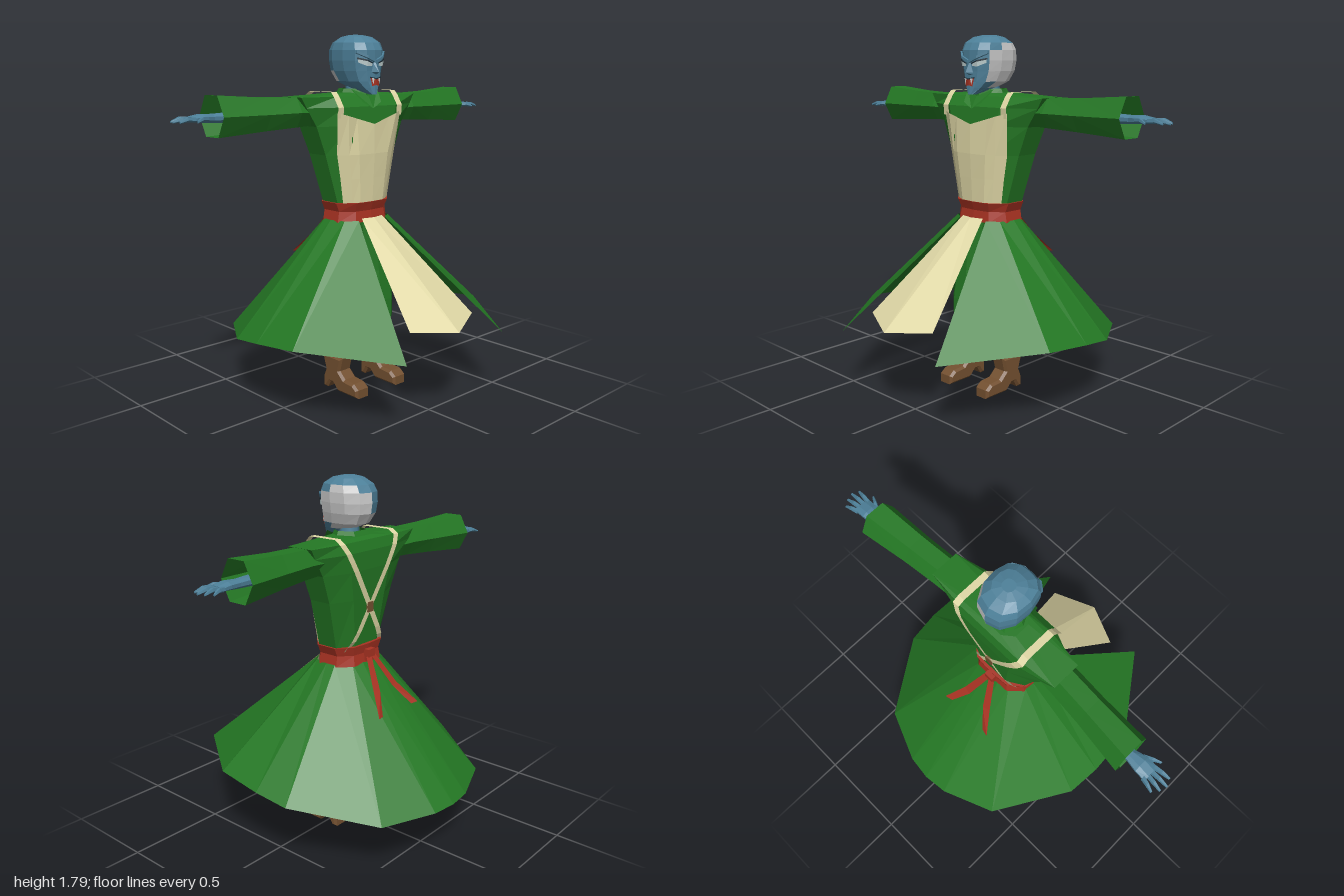
import * as THREE from 'three';

const mat = (name, color, side = THREE.DoubleSide) => Object.assign(new THREE.MeshStandardMaterial({ color, side }), { name });
const M = {
  green: mat('green cloth', 0x247824), cream: mat('cream cloth', 0xe0d8a6), sash: mat('rust sash', 0xa83222),
  sock: mat('red sock', 0xd20f28), boot: mat('brown leather', 0x735030), skin: mat('blue skin', 0x4d8099),
  hair: mat('pale grey', 0xcacaca), eye: mat('eye grey', 0xb4c4c4), dark: mat('dark line', 0x20303a),
};

// Skins rows of [x,y,z] points; closed rows form a tube, caps fill its ends, pick(center) gives a material index
function skin(rows, { closed = false, caps = false, pick } = {}) {
  const tris = [], n = rows[0].length;
  for (let i = 0; i < rows.length - 1; i++) for (let j = 0; j < (closed ? n : n - 1); j++) {
    const k = (j + 1) % n, a = rows[i][j], b = rows[i][k], c = rows[i + 1][k], d = rows[i + 1][j];
    const m = pick ? pick([0, 1, 2].map(q => (a[q] + b[q] + c[q] + d[q]) / 4)) : 0;
    tris.push([m, a, b, c], [m, a, c, d]);
  }
  if (caps) [rows[0], rows[rows.length - 1]].forEach((r, e) => {
    const mid = [0, 1, 2].map(q => r.reduce((s, p) => s + p[q], 0) / n);
    r.forEach((p, j) => tris.push(e ? [0, p, r[(j + 1) % n], mid] : [0, r[(j + 1) % n], p, mid]));
  });
  // Turn closed shapes outward
  const o = rows[0][0], rel = p => new THREE.Vector3(p[0] - o[0], p[1] - o[1], p[2] - o[2]);
  const volume = tris.reduce((s, [, a, b, c]) => s + rel(a).dot(rel(b).cross(rel(c))), 0);
  if (closed && volume < 0) tris.forEach(t => t.splice(1, 3, t[1], t[3], t[2]));
  tris.sort((a, b) => a[0] - b[0]);
  const g = new THREE.BufferGeometry();
  g.setAttribute('position', new THREE.Float32BufferAttribute(tris.flatMap(t => t.slice(1).flat()), 3));
  g.computeVertexNormals();
  if (pick) {
    const first = tris.filter(t => t[0] === 0).length * 3;
    g.addGroup(0, first, 0);
    g.addGroup(first, tris.length * 3 - first, 1);
  }
  return g;
}

// Full horizontal ring from its +x half, listed front to back
const mirrorRing = (half, y) => [...half, ...half.slice(1, -1).reverse().map(([x, z]) => [-x, z])].map(([x, z]) => [x, y, z]);
// Ellipse ring across an axis: 'y' gives a ring in xz, 'x' a ring in yz
const ring = (axis, at, c1, r1, c2, r2, n = 8, turn = 0.5) => Array.from({ length: n }, (_, i) => {
  const a = (i + turn) / n * Math.PI * 2, u = c1 + r1 * Math.cos(a), v = c2 + r2 * Math.sin(a);
  return axis === 'y' ? [u, at, v] : [at, u, v];
});
// Mirrored copy across x with its winding restored
function flip(src) {
  const g = (src.index ? src.toNonIndexed() : src.clone()).scale(-1, 1, 1), p = g.attributes.position;
  for (let i = 0; i < p.count; i += 3) {
    const a = [p.getX(i + 1), p.getY(i + 1), p.getZ(i + 1)];
    p.setXYZ(i + 1, p.getX(i + 2), p.getY(i + 2), p.getZ(i + 2));
    p.setXYZ(i + 2, ...a);
  }
  g.computeVertexNormals();
  return g;
}

// Torso levels: y, half width, front z, back z, side front z, side back z
const TORSO = [
  [0.97, 0.165, 0.085, -0.13, 0.03, -0.08], [1.22, 0.235, 0.1, -0.15, 0.02, -0.1],
  [1.36, 0.29, 0.1, -0.16, 0.02, -0.11], [1.45, 0.35, 0.09, -0.16, 0.02, -0.12],
  [1.5, 0.38, 0.05, -0.145, 0.02, -0.125], [1.515, 0.1, 0.03, -0.12, 0, -0.08]];
function torsoZ(x, y, back) {
  let i = 0;
  while (i < 3 && y > TORSO[i + 1][0]) i++;
  const t = (y - TORSO[i][0]) / (TORSO[i + 1][0] - TORSO[i][0]);
  const l = TORSO[i].map((v, k) => v + (TORSO[i + 1][k] - v) * t), f = Math.max(0, Math.abs(x) / l[1] * 2 - 1);
  return back ? l[3] + (l[5] - l[3]) * f - 0.01 : l[2] + (l[4] - l[2]) * f + 0.012;
}

export function createModel() {
  const root = new THREE.Group();
  const add = (name, g, m) => {
    const mesh = new THREE.Mesh(g, m);
    mesh.name = name;
    root.add(mesh);
  };
  const pair = (name, g, m) => { add(name + 'Left', g, m); add(name + 'Right', flip(g), m); };

  // Coat body and collar
  add('coatBody', skin(TORSO.map(([y, w, f, b, sf, sb]) =>
    mirrorRing([[0, f], [w / 2, f], [w, sf], [w, sb], [w / 2, b], [0, b]], y)), { closed: true, caps: true }), M.green);
  add('collar', skin([[1.49, 0.1, 0.06, -0.12], [1.535, 0.08, 0.045, -0.09]].map(([y, w, f, b]) =>
    mirrorRing([[0, f], [w * 0.7, f - 0.02], [w, -0.02], [w * 0.6, b], [0, b]], y)), { closed: true }), M.green);
  pair('lapel', skin([[[0, 1.44, 0.108], [0, 1.5, 0.072]], [[0.06, 1.47, 0.1], [0.09, 1.535, 0.04]]]), M.green);

  // Open-fronted flared skirt
  const waist = [[0.09, 0.1], [0.15, 0.06], [0.17, -0.02], [0.165, -0.07], [0.1, -0.13], [0.04, -0.145], [0, -0.145]];
  const hem = [[0.34, 0.36, 0.67], [0.64, 0.39, 0.25], [0.655, 0.365, 0], [0.64, 0.34, -0.18], [0.4, 0.275, -0.56], [0.13, 0.275, -0.67], [0, 0.275, -0.685]];
  pair('skirt', skin([waist.map(([x, z]) => [x, 0.89, z]), hem]), M.green);

  // Apron: bib above the sash and panel below it
  const bib = [[0.97, 0.15, 0], [1.1, 0.172, 0], [1.22, 0.195, 0], [1.365, 0.215, 0.06]];
  add('bib', skin(bib.map(([y, w, v]) => [-1, -0.75, -0.5, 0, 0.5, 0.75, 1].map(t => {
    const yy = y + v * Math.abs(t);
    return [w * t, yy, torsoZ(w * t, yy) + (t ? 0 : 0.006)];
  }))), M.cream);
  add('apronPanel', skin([[[-0.07, 0.9, 0.1], [0, 0.9, 0.115], [0.07, 0.9, 0.1]], [[-0.22, 0.46, 0.575], [0, 0.435, 0.68], [0.22, 0.46, 0.575]]]), M.cream);

  // Straps over the shoulders, crossing on the back
  const strap = [];
  for (const y of [1.4, 1.45, 1.5]) strap.push([0.198, y, torsoZ(0.198, y)]);
  strap.push([0.198, 1.522, 0.04], [0.198, 1.522, -0.12]);
  for (let y = 1.5; y > 0.96; y -= 0.045) {
    const x = y > 1.17 ? 0.2 * (y - 1.17) / 0.33 : -0.12 * (1.17 - y) / 0.2;
    strap.push([x, y, torsoZ(x, y, true)]);
  }
  pair('strap', skin(strap.map(([x, y, z]) => [[x - 0.018, y, z], [x + 0.018, y, z]])), M.cream);
  add('strapKnot', new THREE.BoxGeometry(0.04, 0.05, 0.012).translate(0, 1.17, torsoZ(0, 1.17, true)), M.boot);

  // Sash with knot and tails
  add('sash', skin([[0.88, 0.167, 0.1, -0.15], [0.935, 0.158, 0.092, -0.142], [0.98, 0.178, 0.108, -0.15]].map(([y, w, f, b]) =>
    mirrorRing([[0, f], [w * 0.6, f - 0.008], [w, 0.03], [w, -0.08], [w * 0.6, b + 0.008], [0, b]], y)), { closed: true, caps: true }), M.sash);
  add('sashKnot', new THREE.BoxGeometry(0.05, 0.06, 0.03).translate(0, 0.925, -0.155), M.sash);
  pair('sashTail', skin([[[0, 0.92, -0.168], [0.035, 0.92, -0.165]], [[0.05, 0.77, -0.265], [0.09, 0.78, -0.255]], [[0.115, 0.672, -0.335], [0.155, 0.675, -0.345]]]), M.sash);

  // Sleeves, open at the cuffs: x, mid y, half height, mid z, half depth
  pair('sleeve', skin([[0.27, 1.425, 0.07, -0.055, 0.07], [0.38, 1.43, 0.08, -0.055, 0.08], [0.55, 1.428, 0.088, -0.07, 0.083], [0.8, 1.428, 0.107, -0.093, 0.097]]
    .map(([x, y, h, z, d]) => ring('x', x, y, h, z, d, 6, 0.5))), M.green);
  pair('sleeveSeam', skin([[0.27, 1.425, 0.07, -0.055, 0.07], [0.38, 1.43, 0.08, -0.055, 0.08], [0.55, 1.428, 0.088, -0.07, 0.083], [0.8, 1.428, 0.107, -0.093, 0.097]]
    .map(([x, y, h, z, d]) => ring('x', x, y, h, z, d, 6, 0.5)), { closed: true }), M.green);

  // Hands
  pair('hand', skin([[0.6, 1.42, 0.03, -0.08, 0.03], [0.8, 1.42, 0.021, -0.092, 0.03], [0.86, 1.423, 0.02, -0.09, 0.045], [0.915, 1.42, 0.013, -0.093, 0.045]]
    .map(([x, y, h, z, d]) => ring('x', x, y, h, z, d)), { closed: true, caps: true }), M.skin);
  const digits = [[0.9, -0.127, 0.968, -0.147], [0.905, -0.105, 0.99, -0.117], [0.905, -0.082, 1, -0.083], [0.905, -0.06, 0.985, -0.05], [0.84, -0.06, 0.915, -0.022]];
  digits.forEach(([x0, z0, x1, z1], i) => pair('finger' + (i + 1), skin([[x0, 1.42, 0.012, z0, 0.013],
    [(x0 + x1) / 2, 1.423, 0.011, (z0 + z1) / 2, 0.011], [x1, 1.412, 0.005, z1, 0.006]]
    .map(([x, y, h, z, d]) => ring('x', x, y, h, z, d, 5)), { closed: true, caps: true }), M.skin));

  // Legs: y, mid x, half width, mid z, half depth
  const leg = rows => skin(rows.map(([y, x, w, z, d]) => ring('y', y, x, w, z, d)), { closed: true, caps: true });
  pair('trouser', leg([[0.9, 0.085, 0.08, -0.02, 0.09], [0.6, 0.115, 0.085, -0.01, 0.085], [0.44, 0.128, 0.097, 0, 0.085], [0.335, 0.128, 0.097, 0, 0.085], [0.285, 0.13, 0.062, 0, 0.06]]), M.green);
  pair('sockCuff', leg([[0.292, 0.131, 0.06, -0.002, 0.068], [0.252, 0.131, 0.06, -0.002, 0.068]]), M.sock);
  pair('sock', leg([[0.26, 0.131, 0.052, -0.004, 0.052], [0.17, 0.132, 0.043, -0.01, 0.047]]), M.sock);
  const side = new THREE.Shape([[-0.085, 0.18], [-0.062, 0.1], [-0.08, 0.06], [-0.082, 0], [-0.052, 0], [-0.03, 0.035], [-0.005, 0.035],
    [0.03, 0], [0.178, 0], [0.178, 0.045], [0.145, 0.07], [0.08, 0.075], [0.042, 0.11], [0.06, 0.18]].map(p => new THREE.Vector2(...p)));
  pair('boot', new THREE.ExtrudeGeometry(side, { depth: 0.064, bevelThickness: 0.013, bevelSize: 0.012, bevelOffset: -0.012, bevelSegments: 1 })
    .translate(0, 0, -0.032).rotateY(-Math.PI / 2).translate(0.133, 0, 0), M.boot);

  // Head: y, half width, front z, back z; grey patch on one side and under the back
  const section = [[0, 0], [0.45, 0.02], [0.85, 0.15], [1, 0.4], [0.95, 0.7], [0.6, 0.93], [0, 1]];
  const levels = [[1.508, 0.018, 0.12, 0.085], [1.54, 0.055, 0.118, -0.05], [1.57, 0.082, 0.115, -0.125], [1.62, 0.1, 0.115, -0.157],
    [1.67, 0.109, 0.118, -0.164], [1.72, 0.111, 0.118, -0.16], [1.755, 0.103, 0.1, -0.138], [1.783, 0.072, 0.055, -0.09], [1.793, 0.03, 0.01, -0.05]];
  const grey = ([x, y, z]) => (x > 0.03 && ((z + 0.045) / 0.13) ** 2 + ((y - 1.645) / 0.115) ** 2 < 1) || (y < 1.61 && z < -0.06) ? 1 : 0;
  add('head', skin(levels.map(([y, w, f, b]) => mirrorRing(section.map(([u, v]) => [u * w, f + (b - f) * v]), y)),
    { closed: true, caps: true, pick: grey }), [M.skin, M.hair]);
  add('neck', new THREE.CylinderGeometry(0.048, 0.055, 0.09, 8).toNonIndexed().translate(0, 1.525, -0.02), M.skin);

  // Face
  pair('eye', skin([[[0.02, 1.645, 0.122], [0.022, 1.656, 0.122]], [[0.05, 1.643, 0.119], [0.05, 1.668, 0.119]], [[0.085, 1.66, 0.09], [0.085, 1.677, 0.09]]]), M.eye);
  pair('eyeLine', skin([[[0.016, 1.654, 0.124], [0.016, 1.66, 0.124]], [[0.05, 1.666, 0.121], [0.05, 1.674, 0.121]], [[0.09, 1.676, 0.088], [0.09, 1.684, 0.088]]]), M.dark);
  pair('brow', skin([[0.006, 1.668, 0.12], [0.05, 1.687, 0.116], [0.092, 1.71, 0.08]].map(([x, y, z]) => ring('x', x, y, 0.009, z, 0.014, 4)), { closed: true, caps: true }), M.skin);
  add('nose', skin([[1.66, 0.01, 0.122], [1.615, 0.018, 0.146], [1.603, 0.016, 0.125]].map(([y, w, f]) =>
    mirrorRing([[0, f], [w, 0.112], [0, 0.105]], y)), { closed: true, caps: true }), M.skin);
  add('mouth', skin([[[-0.032, 1.588, 0.12], [0, 1.58, 0.127], [0.032, 1.588, 0.12]], [[-0.022, 1.548, 0.122], [0, 1.553, 0.127], [0.022, 1.548, 0.122]]]), M.sash);
  pair('fang', skin([[[0.012, 1.585, 0.128], [0.028, 1.587, 0.125]], [[0.02, 1.557, 0.128], [0.021, 1.557, 0.128]]]), M.hair);
  pair('lip', skin([[[0, 1.58, 0.13], [0, 1.586, 0.13]], [[0.036, 1.587, 0.122], [0.036, 1.593, 0.122]]]), M.dark);
  return root;
}
